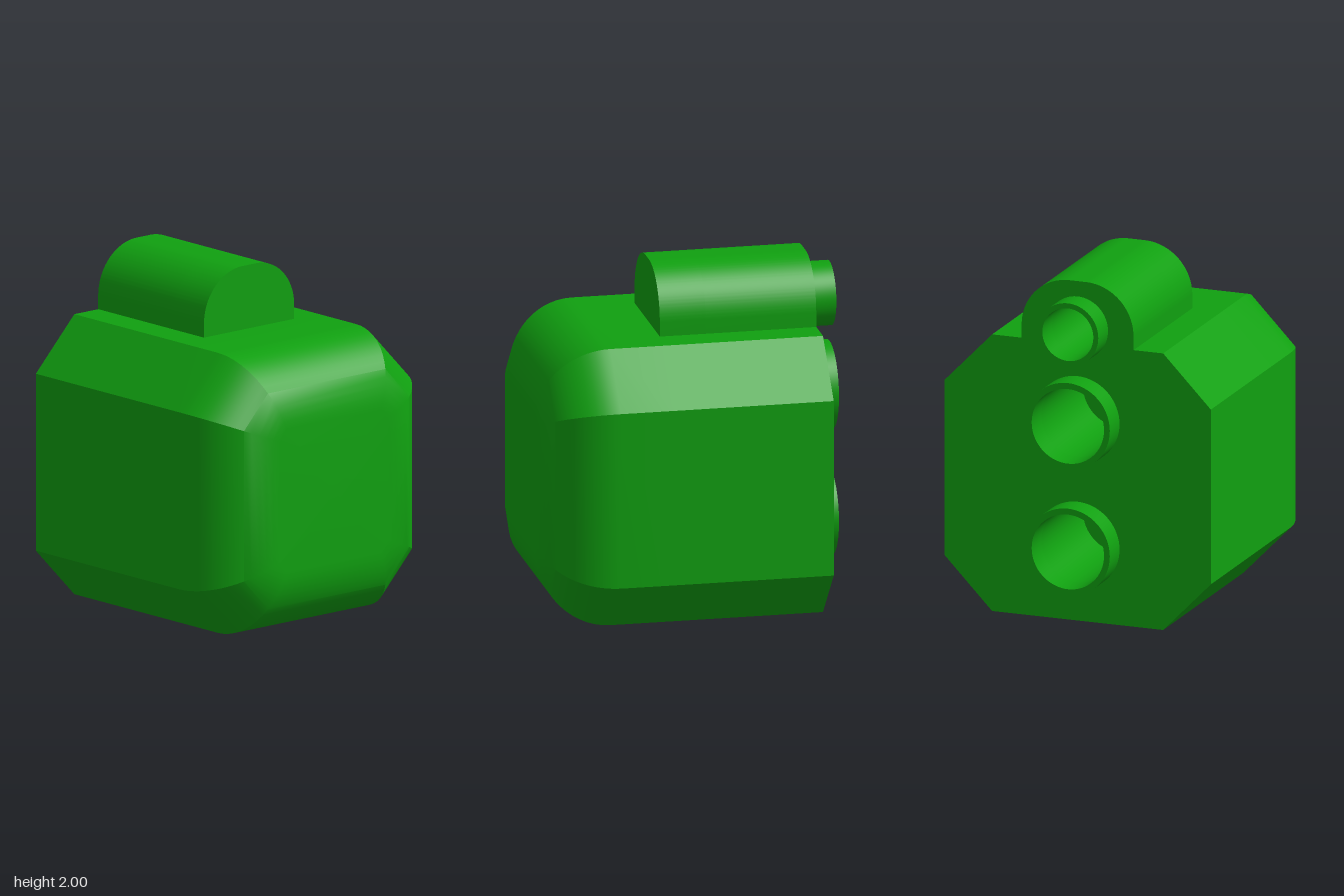
import * as THREE from 'three';
import { toCreasedNormals } from 'three/addons/utils/BufferGeometryUtils.js';

const BACK = -0.74, HOLE_END = -0.1, DOME_FRONT = 0.165, FRONT = 0.89, TUBE_BACK = -0.89;
const W = 0.81, TOP = 1.63, CX = 0.52, Y0 = 0.3, Y1 = 1.33;
const ROUND = 0.4, DOME_W = 0.34, DOME_R = 0.29;

// Tubes on the back, bottom to top
const TUBES = [
  { name: 'lowerTube', y: 0.445, r: 0.255, inner: 0.22 },
  { name: 'middleTube', y: 1.185, r: 0.255, inner: 0.22 },
  { name: 'upperTube', y: 1.725, r: 0.185, inner: 0.155 },
];

const circle = (T, y, r) => new T().absarc(0, y, r, 0, Math.PI * 2);

// Octagon corners, counter-clockwise, each edge moved inwards by d
function octagon(d) {
  const k = d * Math.tan(Math.PI / 8);
  const x = CX - k, w = W - d, a = Y0 + k, b = Y1 - k;
  return [[x, d], [w, a], [w, b], [x, TOP - d], [-x, TOP - d], [-w, b], [-w, a], [-x, d]];
}

// Octagon outline with the rounded ridge standing on it
function outline() {
  const s = new THREE.Shape(), p = octagon(0), c = DOME_W - DOME_R, y = 2 - DOME_R;
  s.moveTo(...p[0]);
  for (let i = 1; i < 4; i++) s.lineTo(...p[i]);
  s.lineTo(DOME_W, TOP);
  s.lineTo(DOME_W, y);
  s.absarc(c, y, DOME_R, 0, Math.PI / 2);
  s.absarc(-c, y, DOME_R, Math.PI / 2, Math.PI);
  s.lineTo(-DOME_W, TOP);
  for (let i = 4; i < 8; i++) s.lineTo(...p[i]);
  s.closePath();
  return s;
}

function extrude(shape, z0, z1) {
  const g = new THREE.ExtrudeGeometry(shape, { depth: z1 - z0, bevelEnabled: false, curveSegments: 32 });
  g.translate(0, 0, z0);
  return g;
}

// Front of the body: octagon rings shrinking along a quarter circle, closed by a flat face
function frontGeometry() {
  const steps = 14, rings = [octagon(0).map(([x, y]) => [x, y, DOME_FRONT])];
  for (let i = 0; i <= steps; i++) {
    const t = (i / steps) * Math.PI / 2;
    const z = FRONT - ROUND + ROUND * Math.sin(t);
    rings.push(octagon(ROUND * (1 - Math.cos(t))).map(([x, y]) => [x, y, z]));
  }
  const pos = [];
  for (let r = 0; r < rings.length - 1; r++) {
    for (let i = 0; i < 8; i++) {
      const j = (i + 1) % 8, a = rings[r], b = rings[r + 1];
      pos.push(...a[i], ...a[j], ...b[j], ...a[i], ...b[j], ...b[i]);
    }
  }
  const last = rings[rings.length - 1];
  for (let i = 0; i < 8; i++) pos.push(...last[i], ...last[(i + 1) % 8], 0, TOP / 2, FRONT);
  const g = new THREE.BufferGeometry();
  g.setAttribute('position', new THREE.Float32BufferAttribute(pos, 3));
  return g;
}

export function createModel() {
  const group = new THREE.Group();
  const material = new THREE.MeshStandardMaterial({ color: 0x10a010 });
  const add = (name, geometry) => {
    const mesh = new THREE.Mesh(toCreasedNormals(geometry, 0.4), material);
    mesh.name = name;
    group.add(mesh);
  };

  // Rear of body and ridge, bored by the three tubes
  const bored = outline();
  for (const t of TUBES) bored.holes.push(circle(THREE.Path, t.y, t.inner));
  add('boredRearBody', extrude(bored, BACK, HOLE_END));

  // Solid middle of body and ridge, which also closes the bores
  add('middleBody', extrude(outline(), HOLE_END, DOME_FRONT));

  // Rounded front of the body
  add('roundedFrontBody', frontGeometry());

  // Tube collars standing out of the back
  for (const t of TUBES) {
    const ring = circle(THREE.Shape, t.y, t.r);
    ring.holes.push(circle(THREE.Path, t.y, t.inner));
    add(t.name, extrude(ring, TUBE_BACK, BACK));
  }
  return group;
}
